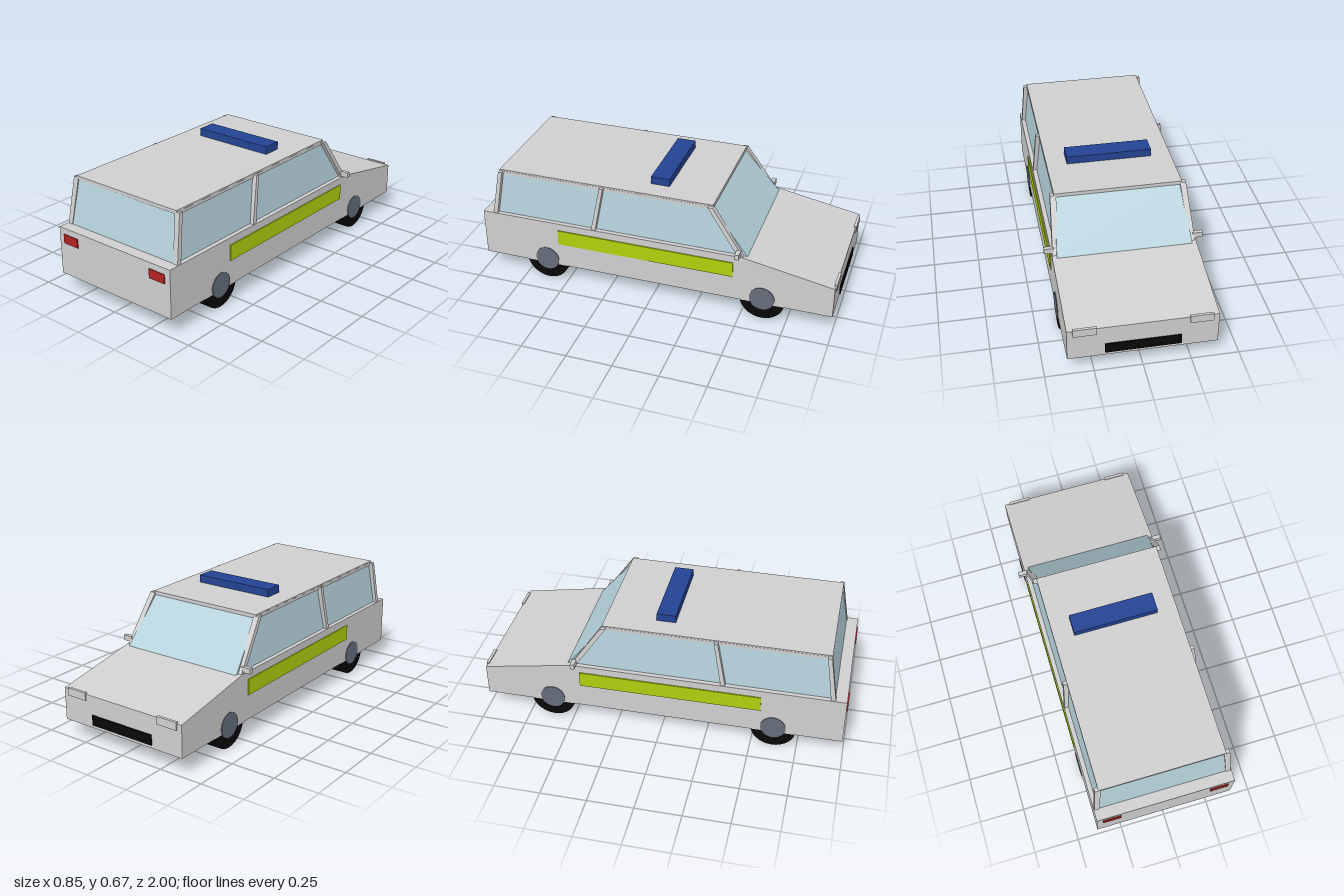
import * as THREE from 'three';

const mat = (name, color) => {
  const m = new THREE.MeshStandardMaterial({ color });
  m.name = name;
  return m;
};

export function createModel() {
  const group = new THREE.Group();
  const paint = mat('grey paint', 0xcfcfcf);
  const glass = mat('pale blue glass', 0xb6d2dc);
  const black = mat('black', 0x080808);
  const hubGrey = mat('hub grey', 0x656d7b);
  const blue = mat('beacon blue', 0x234393);
  const lime = mat('lime stripe', 0xafd00d);
  const red = mat('tail red', 0xb02222);

  const add = (name, geometry, material) => {
    const mesh = new THREE.Mesh(geometry, material);
    mesh.name = name;
    group.add(mesh);
    return mesh;
  };

  // Box given by its limits on each axis
  const block = (name, [x0, x1], [y0, y1], [z0, z1], material) => {
    const g = new THREE.BoxGeometry(x1 - x0, y1 - y0, z1 - z0);
    g.translate((x0 + x1) / 2, (y0 + y1) / 2, (z0 + z1) / 2);
    return add(name, g, material);
  };

  // Six-sided solid between two level rectangles: { x: [a, b], z: [a, b], y }
  const loft = (name, bottom, top, material) => {
    const g = new THREE.BoxGeometry(1, 1, 1);
    const p = g.attributes.position;
    for (let i = 0; i < p.count; i++) {
      const end = p.getY(i) < 0 ? bottom : top;
      p.setXYZ(i, end.x[p.getX(i) < 0 ? 0 : 1], end.y, end.z[p.getZ(i) < 0 ? 0 : 1]);
    }
    g.computeVertexNormals();
    return add(name, g, material);
  };
  const mirrorX = ([a, b], s) => (s > 0 ? [a, b] : [-b, -a]);

  // Lower body with sloping bonnet, drawn as a side profile (bonnet towards -z)
  const profile = new THREE.Shape([
    [-0.992, 0.095], [0.994, 0.095], [0.994, 0.272], [0.5, 0.363], [-0.992, 0.363],
  ].map(([x, y]) => new THREE.Vector2(x, y)));
  const bodyGeo = new THREE.ExtrudeGeometry(profile, { depth: 0.768, bevelEnabled: false });
  bodyGeo.translate(0, 0, -0.384).rotateY(Math.PI / 2);
  add('body', bodyGeo, paint);

  // Cabin glass and roof
  loft('cabinGlass',
    { x: [-0.36, 0.36], z: [-0.524, 0.93], y: 0.357 },
    { x: [-0.337, 0.337], z: [-0.318, 0.885], y: 0.607 }, glass);
  block('roof', [-0.342, 0.342], [0.605, 0.625], [-0.325, 0.89], paint);

  // Leaning pillars: front, middle, rear
  const pillars = [
    ['frontPillar', [-0.505, -0.475], [-0.328, -0.3]],
    ['middlePillar', [0.325, 0.35], [0.28, 0.3]],
    ['rearPillar', [0.908, 0.933], [0.868, 0.89]],
  ];
  for (const s of [1, -1]) {
    const side = s > 0 ? 'left' : 'right';
    for (const [name, zBottom, zTop] of pillars) {
      loft(`${name}_${side}`,
        { x: mirrorX([0.352, 0.38], s), z: zBottom, y: 0.36 },
        { x: mirrorX([0.33, 0.362], s), z: zTop, y: 0.617 }, paint);
    }
    // Slim rail joining the pillar tops
    block(`roofRail_${side}`, mirrorX([0.335, 0.343], s), [0.6, 0.617], [-0.31, 0.885], paint);

    block(`sideStripe_${side}`, mirrorX([0.382, 0.39], s), [0.235, 0.322], [-0.452, 0.545], lime);
    block(`doorMirror_${side}`, mirrorX([0.37, 0.423], s), [0.369, 0.399], [-0.49, -0.467], paint);
    block(`headlight_${side}`, mirrorX([0.235, 0.355], s), [0.237, 0.28], [-1, -0.985], paint);
    block(`tailLight_${side}`, mirrorX([0.25, 0.35], s), [0.28, 0.33], [0.991, 0.998], red);

    // Wheels with hubs running through the tyre
    for (const z of [-0.615, 0.618]) {
      const end = z < 0 ? 'front' : 'rear';
      const tyre = new THREE.CylinderGeometry(0.124, 0.124, 0.09, 32);
      tyre.rotateZ(Math.PI / 2).translate(s * 0.337, 0.124, z);
      add(`${end}Tyre_${side}`, tyre, black);
      const hub = new THREE.CylinderGeometry(0.069, 0.069, 0.1, 32);
      hub.rotateZ(Math.PI / 2).translate(s * 0.338, 0.126, z);
      add(`${end}Hub_${side}`, hub, hubGrey);
    }
  }

  block('grille', [-0.195, 0.195], [0.112, 0.168], [-1, -0.992], black);
  block('lightBar', [-0.232, 0.232], [0.62, 0.668], [-0.052, 0.052], blue);

  return group;
}
